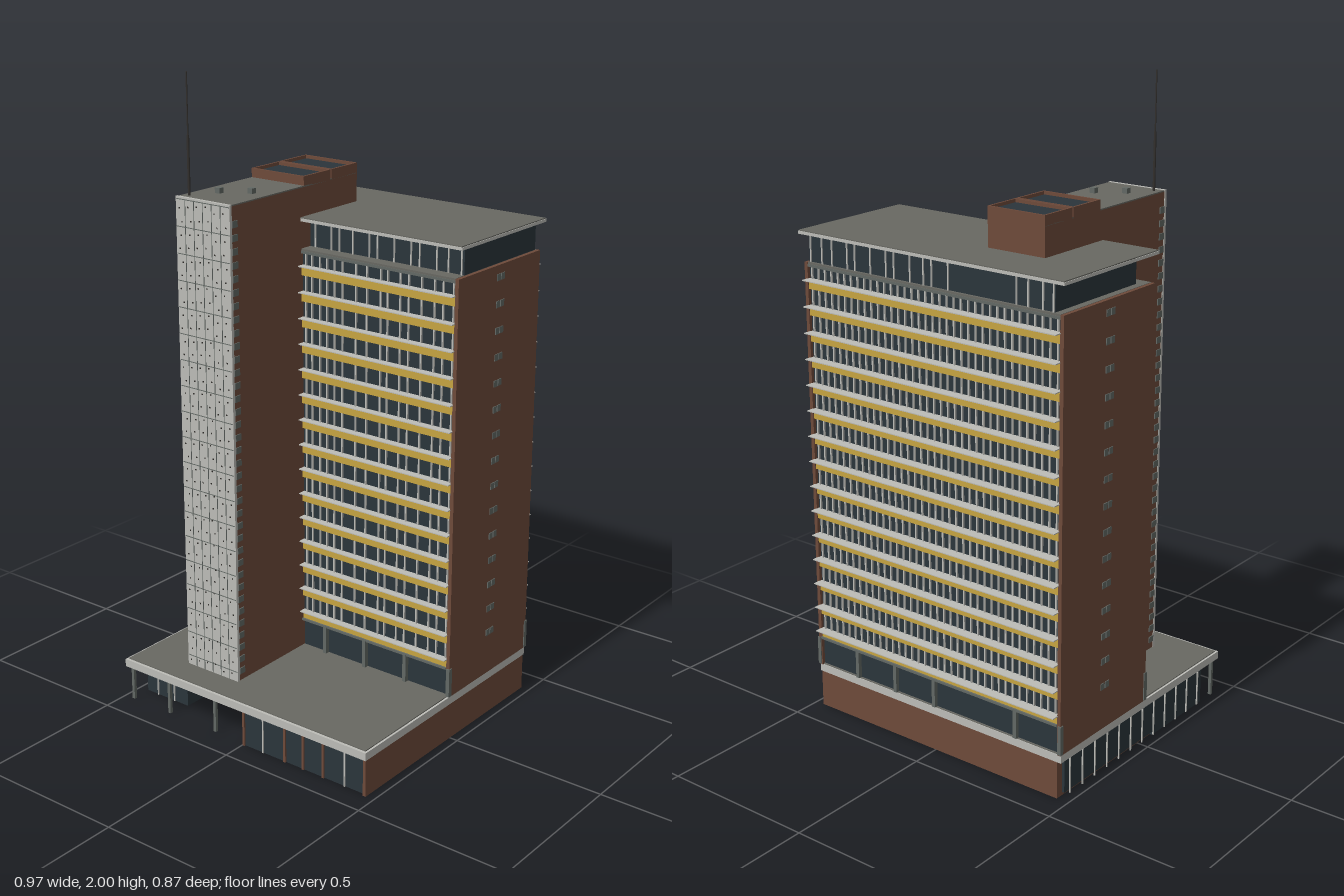
import * as THREE from 'three';
import { mergeGeometries } from 'three/addons/utils/BufferGeometryUtils.js';

const mat = (name, color) => Object.assign(new THREE.MeshStandardMaterial({ color }), { name });

export function createModel() {
  const brick = mat('brick brown', 0x6e4a3a);
  const glass = mat('dark glass', 0x2b353b);
  const roofGrey = mat('roof grey', 0x686862);
  const pale = mat('pale concrete', 0xbcbcb7);
  const yellow = mat('yellow panel', 0xc6a441);
  const steel = mat('steel grey', 0x626864);
  const dark = mat('dark metal', 0x33302d);

  const model = new THREE.Group();
  model.name = 'officeTower';

  // One mesh from a list of boxes [x0, x1, y0, y1, z0, z1]
  const add = (name, material, boxes) => {
    const geometry = mergeGeometries(boxes.map(([x0, x1, y0, y1, z0, z1]) =>
      new THREE.BoxGeometry(x1 - x0, y1 - y0, z1 - z0)
        .translate((x0 + x1) / 2, (y0 + y1) / 2, (z0 + z1) / 2)));
    const mesh = new THREE.Mesh(geometry, material);
    mesh.name = name;
    model.add(mesh);
  };
  const range = (n, f) => Array.from({ length: n }, (_, i) => f(i));

  // Podium: closed rear block, glazed front wings, open entrance between them
  add('podiumRear', brick, [[-0.46, 0.47, 0, 0.12, -0.41, 0.07]]);
  add('podiumSideWall', brick, [[0.462, 0.472, 0, 0.12, -0.41, 0.43]]);
  add('podiumGlass', glass, [
    [0, 0.462, 0, 0.12, 0.07, 0.42],
    [-0.468, -0.295, 0, 0.12, 0.07, 0.345],
    [-0.468, -0.46, 0.01, 0.12, -0.385, 0.07],
  ]);
  add('podiumMullions', pale, [
    ...[0.08, 0.39].map(x => [x - 0.002, x + 0.002, 0, 0.12, 0.42, 0.424]),
    ...[-0.42, -0.35].map(x => [x - 0.002, x + 0.002, 0, 0.12, 0.345, 0.349]),
    ...range(12, i => -0.36 + i * 0.062).map(z => [-0.472, -0.468, 0, 0.12, z - 0.002, z + 0.002]),
  ]);
  add('podiumFrames', brick, [
    ...[0.005, 0.165, 0.235, 0.31].map(x => [x - 0.004, x + 0.004, 0, 0.12, 0.42, 0.425]),
    [-0.08, -0.072, 0.02, 0.11, 0.3, 0.31],
    [-0.072, 0, 0.02, 0.028, 0.3, 0.31],
    [-0.072, 0, 0.102, 0.11, 0.3, 0.31],
  ]);
  add('entranceGlass', glass, [[-0.072, 0, 0.028, 0.102, 0.303, 0.307]]);
  add('podiumColumns', steel, [-0.465, -0.31, -0.12].map(x =>
    [x - 0.005, x + 0.005, 0, 0.12, 0.405, 0.415]));
  add('podiumSlab', pale, [[-0.475, 0.475, 0.12, 0.145, -0.412, 0.435]]);
  add('podiumRoof', roofGrey, [[-0.468, 0.468, 0.145, 0.148, -0.41, 0.426]]);

  // Main slab block: glass body between two brick end walls
  add('towerGlass', glass, [[-0.465, 0.465, 0.145, 1.45, -0.405, 0.005]]);
  add('endWalls', brick, [-1, 1].map(s =>
    [s * 0.469 - 0.006, s * 0.469 + 0.006, 0.145, 1.455, -0.415, 0.015]));
  add('towerRoof', roofGrey, [[-0.463, 0.463, 1.45, 1.456, -0.413, 0.013]]);
  add('towerRoofEdge', steel, [
    [-0.463, 0.463, 1.442, 1.45, 0.005, 0.015],
    [-0.463, 0.463, 1.442, 1.45, -0.415, -0.405],
  ]);

  // First storey with a slightly wider frame
  const frameX = [-0.472, -0.31, 0, 0.155, 0.31, 0.472];
  add('firstStoreyFrame', steel, [[0.005, 0.02], [-0.418, -0.405]].flatMap(([z0, z1]) => [
    ...frameX.map(x => [x - 0.006, x + 0.006, 0.148, 0.24, z0, z1]),
    [-0.463, 0.463, 0.236, 0.243, z0, z1 - 0.002],
  ]));

  // Floors: yellow spandrels, pale ledges, mullions
  const FLOORS = 15, PITCH = 0.081, FIRST = 0.24;
  const floors = range(FLOORS, i => FIRST + i * PITCH);
  add('frontSpandrels', yellow, floors.map(y => [-0.463, 0.463, y, y + 0.029, 0.005, 0.0125]));
  add('backSpandrels', yellow, floors.map(y => [-0.463, 0.463, y, y + 0.029, -0.4125, -0.405]));
  add('ledges', pale, floors.flatMap(y => [
    [-0.465, 0.465, y + 0.029, y + 0.032, 0.005, 0.03],
    [-0.465, 0.465, y + 0.029, y + 0.032, -0.438, -0.405],
  ]));
  const leftX = range(7, i => -0.452 + i * 0.026);
  const rightX = [-0.078, -0.055, -0.025, 0.002, 0.03, 0.06, 0.11, 0.15, 0.2, 0.225, 0.27, 0.3, 0.345, 0.39, 0.42, 0.455];
  const backX = range(36, i => -0.452 + i * 0.0258);
  const mullion = (x, z0, z1) => [x - 0.0022, x + 0.0022, 0.243, 1.442, z0, z1];
  add('frontMullions', pale, [
    ...leftX.map(x => mullion(x, 0.005, 0.015)),
    ...rightX.map(x => mullion(x, 0.005, 0.011)),
  ]);
  add('backMullions', pale, backX.map(x => mullion(x, -0.411, -0.405)));

  // Paired small windows on both end walls
  add('endWindows', steel, range(FLOORS, i => 0.285 + i * PITCH).flatMap(y =>
    [-1, 1].flatMap(s => [-0.19, -0.212].map(z =>
      [s * 0.4755 - 0.002, s * 0.4755 + 0.002, y - 0.01, y + 0.01, z - 0.009, z + 0.009]))));

  // Penthouse storey and oversailing roof
  add('penthouse', glass, [[-0.44, 0.463, 1.456, 1.54, -0.405, -0.03]]);
  const pentX = [-0.435, -0.4, -0.35, -0.31, -0.07, -0.01, 0.02, 0.07, 0.13, 0.16, 0.22, 0.28, 0.31, 0.37, 0.41, 0.455];
  add('penthouseMullions', pale, pentX.flatMap(x => [[-0.03, -0.026], [-0.409, -0.405]].map(([a, b]) =>
    [x - 0.002, x + 0.002, 1.456, 1.54, a, b])));
  add('upperRoofEdge', pale, [[-0.485, 0.485, 1.54, 1.549, -0.427, 0.017]]);
  add('upperRoof', roofGrey, [[-0.483, 0.483, 1.549, 1.552, -0.425, 0.015]]);

  // Service core
  const CX0 = -0.293, CX1 = -0.092, TOP = 1.64;
  add('core', brick, [[CX0, CX1, 0.12, TOP, -0.258, 0.327]]);
  add('coreRoof', roofGrey, [[CX0, CX1, TOP, TOP + 0.004, -0.256, 0.327]]);
  add('coreFront', pale, [[CX0 - 0.002, CX1 + 0.002, 0.148, TOP + 0.005, 0.327, 0.336]]);
  add('coreFrontJoints', steel, [
    ...range(5, i => CX0 + (i + 1) * 0.0335).map(x => [x - 0.001, x + 0.001, 0.148, TOP, 0.336, 0.337]),
    ...range(19, i => 0.18 + i * PITCH).map(y => [CX0, CX1, y - 0.0012, y + 0.0012, 0.336, 0.337]),
  ]);
  add('coreFrontVents', dark, range(37, r => r).flatMap(r => range(6, c => {
    const x = CX0 + 0.011 + c * 0.0335 + (r * 7 % 3) * 0.005, y = 0.165 + r * 0.0402 + (c * 5 % 4) * 0.005;
    return [x - 0.002, x + 0.002, y - 0.002, y + 0.002, 0.336, 0.3375];
  })));
  add('coreSideWindows', steel, range(36, i => 0.18 + i * 0.0402).flatMap(y => [CX0, CX1].map(x =>
    [x - 0.003, x + 0.003, y - 0.01, y + 0.01, 0.303, 0.326])));

  // Plant enclosures: brick rims around dark tops
  const rims = [], tops = [];
  for (const [z0, z1] of [[-0.26, -0.134], [-0.128, 0]]) {
    const w = 0.006, y0 = TOP - 0.02, y1 = 1.672;
    rims.push([CX0, CX0 + w, y0, y1, z0, z1], [CX1 - w, CX1, y0, y1, z0, z1],
      [CX0 + w, CX1 - w, y0, y1, z0, z0 + w], [CX0 + w, CX1 - w, y0, y1, z1 - w, z1]);
    tops.push([CX0 + w, CX1 - w, y0, 1.662, z0 + w, z1 - w]);
  }
  add('plantRims', brick, rims);
  add('plantTops', glass, tops);
  add('roofVents', steel, [[-0.147, 0.172], [-0.225, 0.226]].map(([x, z]) =>
    [x - 0.009, x + 0.009, TOP, 1.66, z - 0.009, z + 0.009]));

  // Antenna mast in two thicknesses
  for (const [name, r, y0, y1] of [['mastBase', 0.004, TOP, 1.82], ['mastTip', 0.0022, 1.82, 2]]) {
    const mast = new THREE.Mesh(new THREE.CylinderGeometry(r, r, y1 - y0, 8), dark);
    mast.name = name;
    mast.position.set(-0.27, (y0 + y1) / 2, 0.305);
    model.add(mast);
  }
  return model;
}
